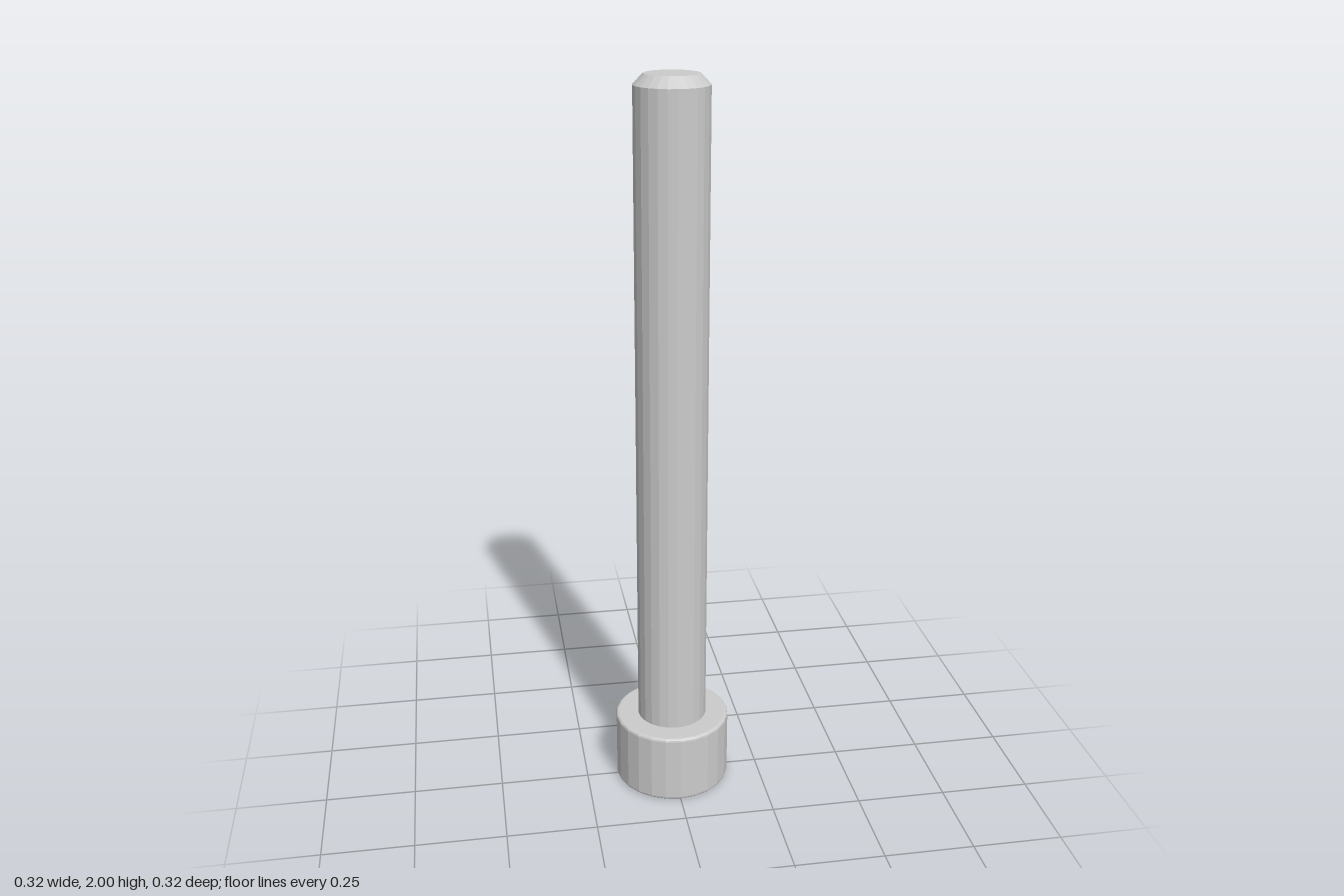
import * as THREE from 'three';

const SIDES = 24;
const SHANK_R = 0.098, HEAD_R = 0.162, HEAD_H = 0.2;
const SOCKET_R = 0.084, SOCKET_DEPTH = 0.1, BEVEL = 0.009;

export function createModel() {
  const model = new THREE.Group();
  model.name = 'socketHeadBolt';
  const material = new THREE.MeshStandardMaterial({ color: 0xcccccc, flatShading: true });

  // Turns a [radius, height] profile, listed from the bottom axis outwards and up
  const turned = (name, profile) => {
    const points = profile.map(([r, y]) => new THREE.Vector2(r, y));
    const mesh = new THREE.Mesh(new THREE.LatheGeometry(points, SIDES), material);
    mesh.name = name;
    model.add(mesh);
  };

  // Quarter-round edge of the head, from angle a to a + 90 degrees
  const roundedEdge = (y, a) => [0, 1, 2, 3].map((i) => {
    const t = a + (i / 3) * Math.PI / 2;
    return [HEAD_R - BEVEL + BEVEL * Math.cos(t), y + BEVEL * Math.sin(t)];
  });

  // Cylindrical head with a blind socket in its underside
  turned('head', [
    [0, SOCKET_DEPTH],
    [SOCKET_R, SOCKET_DEPTH],
    [SOCKET_R, 0],
    ...roundedEdge(BEVEL, -Math.PI / 2),
    ...roundedEdge(HEAD_H - BEVEL, 0),
    [SHANK_R, HEAD_H],
  ]);

  // Long plain shank with a chamfered tip
  turned('shank', [
    [SHANK_R, HEAD_H],
    [SHANK_R, 1.973],
    [0.071, 2],
    [0, 2],
  ]);

  return model;
}
